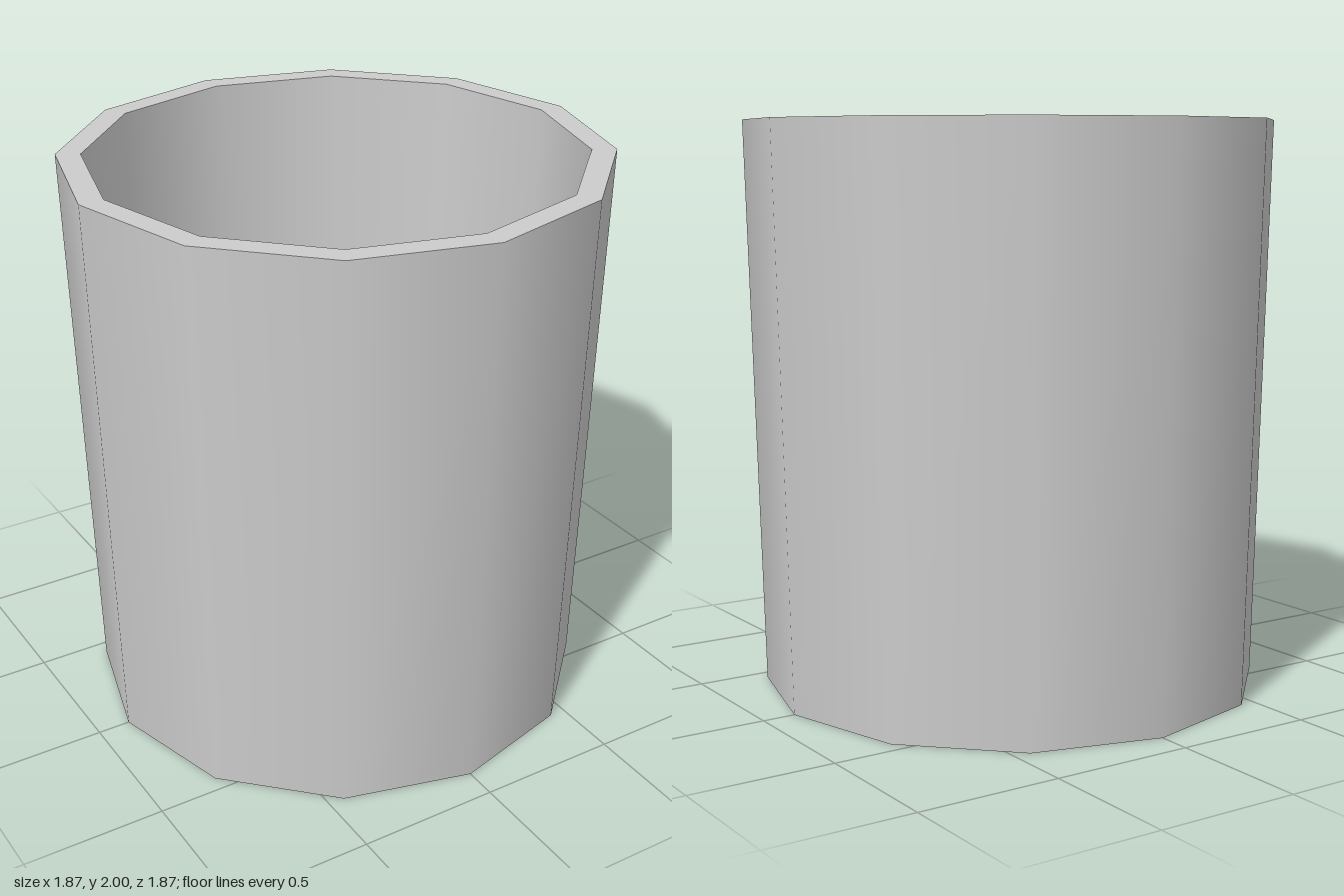
import * as THREE from 'three';

const SIDES = 12;

export function createModel() {
  const group = new THREE.Group();
  const material = new THREE.MeshStandardMaterial({ color: 0xcccccc, side: THREE.DoubleSide });

  const add = (name, geometry, y = 0) => {
    const mesh = new THREE.Mesh(geometry, material);
    mesh.name = name;
    mesh.position.y = y;
    group.add(mesh);
  };
  // open tapered wall standing on y = 0
  const wall = (top, bottom, height) =>
    new THREE.CylinderGeometry(top, bottom, height, SIDES, 1, true).translate(0, height / 2, 0);

  // cup: two tapered shells joined by a flat rim, open between them underneath
  add('outerWall', wall(0.935, 0.885, 2));
  add('innerWall', wall(0.85, 0.8, 2));
  add('rim', new THREE.RingGeometry(0.85, 0.935, SIDES).rotateX(-Math.PI / 2), 2);
  add('floor', new THREE.CircleGeometry(0.8, SIDES).rotateX(-Math.PI / 2));

  // domed post in the middle of the floor
  const postHeight = 0.75;
  add('postWall', wall(0.428, 0.446, postHeight));
  add('postDome', new THREE.SphereGeometry(0.428, SIDES, 6, 0, Math.PI * 2, 0, Math.PI / 2), postHeight);

  return group;
}
